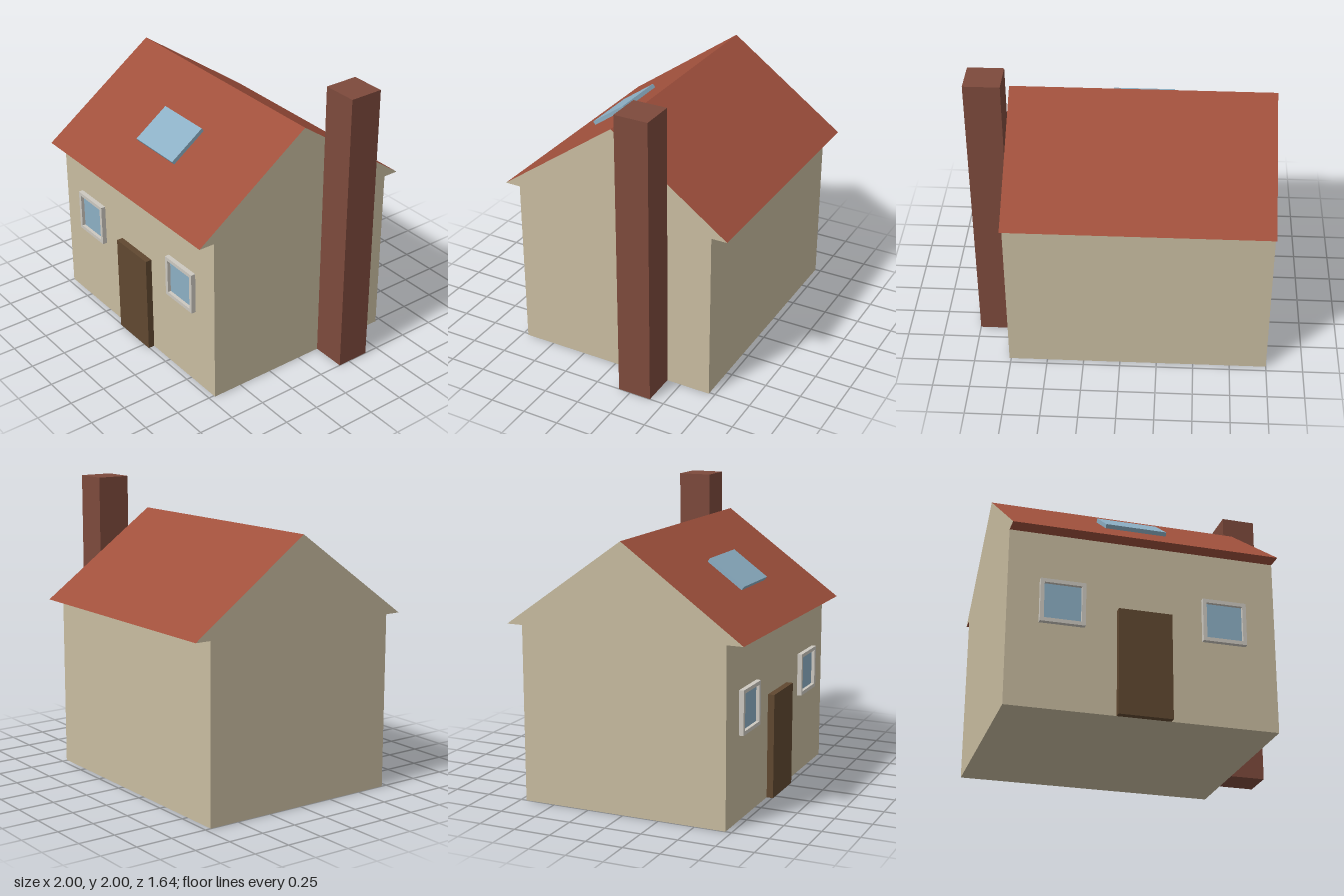
import * as THREE from 'three';

const mat = (name, color) => {
  const m = new THREE.MeshStandardMaterial({ color });
  m.name = name;
  return m;
};

export function createModel() {
  const house = new THREE.Group();
  house.name = 'house';

  const plaster = mat('plaster', 0xc8bca0);
  const roofTile = mat('roofTile', 0xa0503c);
  const brick = mat('brick', 0x7d4a3c);
  const wood = mat('wood', 0x604830);
  const glass = mat('glass', 0x8cafc4);
  const trim = mat('trim', 0xccc8c0);

  // Box given by its minimum and maximum corners
  const box = (name, material, [x0, y0, z0], [x1, y1, z1], parent = house) => {
    const geo = new THREE.BoxGeometry(x1 - x0, y1 - y0, z1 - z0);
    const mesh = new THREE.Mesh(geo, material);
    mesh.name = name;
    mesh.position.set((x0 + x1) / 2, (y0 + y1) / 2, (z0 + z1) / 2);
    parent.add(mesh);
    return mesh;
  };

  const left = -1, right = 0.762, wallZ = 0.71;
  const eaveY = 1.18, eaveZ = 0.82, ridgeY = 1.765;

  box('walls', plaster, [left, 0, -wallZ], [right, eaveY, wallZ]);

  // Gabled roof: plaster ends, tiled slopes and eaves
  const gable = new THREE.Shape([
    new THREE.Vector2(-eaveZ, eaveY),
    new THREE.Vector2(eaveZ, eaveY),
    new THREE.Vector2(0, ridgeY),
  ]);
  const roofGeo = new THREE.ExtrudeGeometry(gable, { depth: right - left, bevelEnabled: false });
  roofGeo.rotateY(Math.PI / 2);
  const roof = new THREE.Mesh(roofGeo, [plaster, roofTile]);
  roof.name = 'roof';
  roof.position.x = left;
  house.add(roof);

  box('chimney', brick, [right, 0, -0.4], [1, 2, -0.167]);
  box('door', wood, [-0.295, 0, wallZ], [0.055, 0.705, 0.755]);

  // Front windows: square frame around a recessed pane
  const makeWindow = (name, x) => {
    const group = new THREE.Group();
    group.name = name;
    group.position.set(x, 0.708, wallZ);
    const o = 0.146, i = 0.121;
    const square = (s) => [[-s, -s], [s, -s], [s, s], [-s, s]].map(([a, b]) => new THREE.Vector2(a, b));
    const shape = new THREE.Shape(square(o));
    shape.holes.push(new THREE.Path(square(i).reverse()));
    const frame = new THREE.Mesh(
      new THREE.ExtrudeGeometry(shape, { depth: 0.032, bevelEnabled: false }), trim);
    frame.name = 'windowFrame';
    group.add(frame);
    box('windowPane', glass, [-i, -i, 0], [i, i, 0.009], group);
    house.add(group);
  };
  makeWindow('rightWindow', -0.65);
  makeWindow('leftWindow', 0.412);

  // Skylight lying on the front slope
  const slope = Math.atan2(ridgeY - eaveY, eaveZ);
  const skylight = new THREE.Group();
  skylight.name = 'skylight';
  const z = 0.411;
  skylight.position.set(-0.118, ridgeY - z * Math.tan(slope), z);
  skylight.rotation.x = slope;
  box('skylightPane', glass, [-0.207, 0, -0.147], [0.207, 0.028, 0.147], skylight);
  house.add(skylight);

  return house;
}
